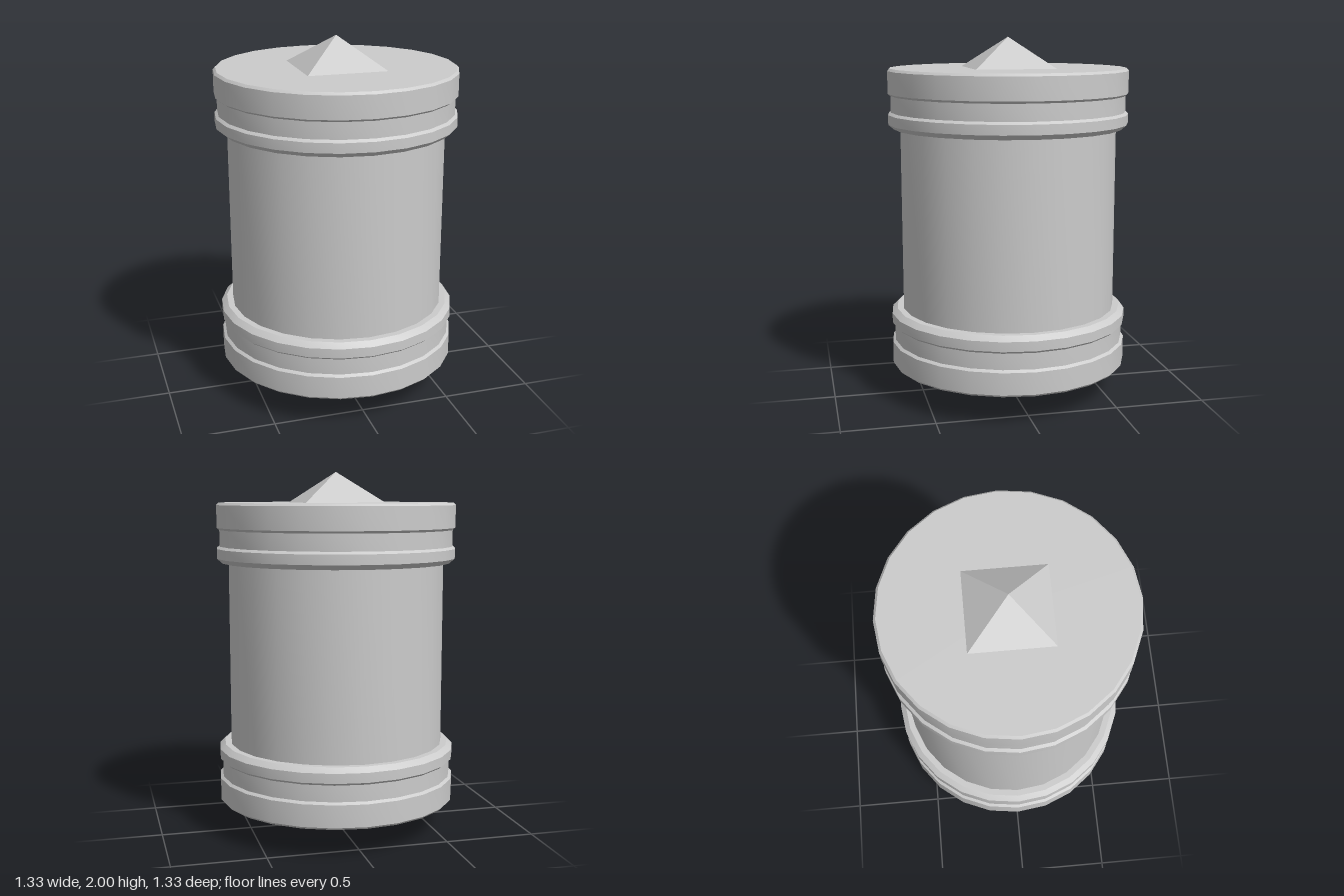
import * as THREE from 'three';
import { toCreasedNormals } from 'three/addons/utils/BufferGeometryUtils.js';

const SIDES = 24;
const CENTRE = 1; // height of the mirror plane

const material = new THREE.MeshStandardMaterial({ color: 0xcccccc });

function named(name, geometry, mat = material) {
  const mesh = new THREE.Mesh(geometry, mat);
  mesh.name = name;
  return mesh;
}

// Turned part from [radius, height] pairs, bottom to top: smooth around, sharp at the bevels
function turned(profile) {
  const points = profile.map(([r, y]) => new THREE.Vector2(r, y));
  return toCreasedNormals(new THREE.LatheGeometry(points, SIDES), 0.4);
}

// One end of the canister, heights measured from the mirror plane
function createEnd(name) {
  const end = new THREE.Group();
  end.name = name;

  // Collar with a chamfered lower lip, a recessed band and a bevelled lid
  end.add(named('collar', turned([
    [0.59, 0.505], [0.635, 0.505],
    [0.665, 0.531], [0.665, 0.584],
    [0.65, 0.597], [0.65, 0.686],
    [0.665, 0.698], [0.665, 0.82],
    [0.652, 0.833], [0, 0.833],
  ])));

  // Four-sided spike, flat sides facing the axes
  const height = 0.167;
  const spike = new THREE.ConeGeometry(0.22 * Math.SQRT2, height, 4, 1, true);
  spike.rotateY(Math.PI / 4);
  spike.translate(0, 0.833 + height / 2, 0);
  end.add(named('spike', toCreasedNormals(spike, 0.4)));

  return end;
}

export function createModel() {
  const model = new THREE.Group();
  model.name = 'canister';

  // Plain drum between the two ends
  model.add(named('drum', turned([[0.6, 0.48], [0.6, 1.52]])));

  // Top end, and the same end turned upside down
  const top = createEnd('topEnd');
  const bottom = createEnd('bottomEnd');
  bottom.rotation.x = Math.PI;
  for (const end of [top, bottom]) {
    end.position.y = CENTRE;
    model.add(end);
  }
  return model;
}
